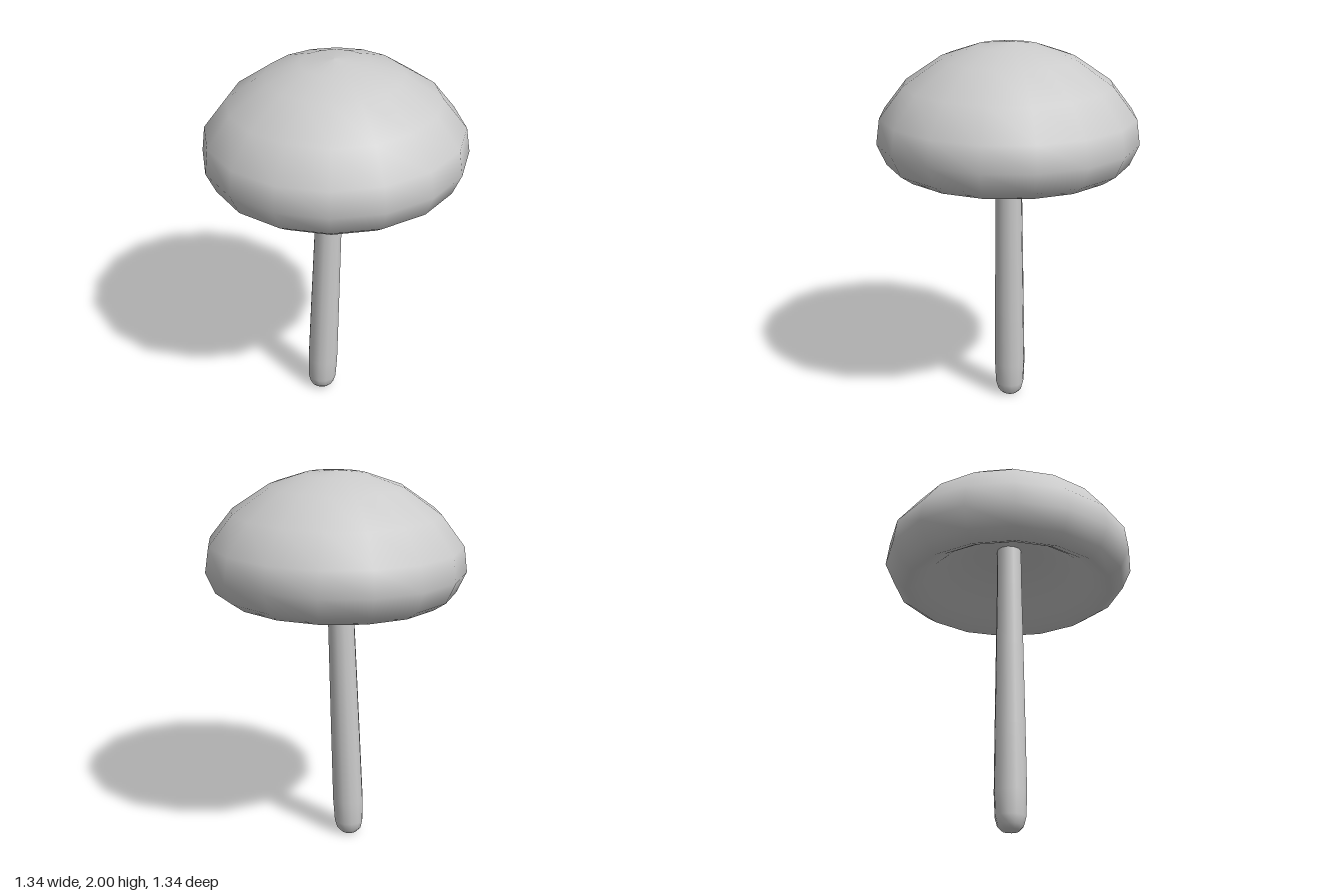
import * as THREE from 'three';

const material = new THREE.MeshStandardMaterial({ color: 0xcccccc });

// Smooth solid of revolution; the profile runs from the bottom centre to the top centre
function turned(name, profile, sides, phase = 0) {
  const points = profile.map(([r, y]) => new THREE.Vector2(r, y));
  const mesh = new THREE.Mesh(new THREE.LatheGeometry(points, sides, phase), material);
  mesh.name = name;
  return mesh;
}

export function createModel() {
  const group = new THREE.Group();
  group.name = 'mushroom';

  // Cap: hollow underside, rolled rim and domed top, heights relative to its widest ring
  const capHeight = 1.505;
  const cap = turned('cap', [
    [0, 0.1], [0.17, 0.08], [0.32, 0.01], [0.43, -0.08], [0.5, -0.125],
    [0.56, -0.152], [0.625, -0.107], [0.673, 0], [0.655, 0.13],
    [0.535, 0.285], [0.345, 0.415], [0.17, 0.475], [0, 0.495],
  ], 16, -0.056);
  cap.position.y = capHeight;
  cap.rotation.set(0.009, 0, 0.01);
  group.add(cap);

  // Stem: rounded foot, slight taper, running up into the hollow of the cap
  const stem = turned('stem', [
    [0, 0.004], [0.045, 0.008], [0.066, 0.03], [0.078, 0.075], [0.083, 0.2],
    [0.079, 0.55], [0.073, 1], [0.068, 1.36], [0.066, 1.62],
  ], 12);
  // Lean towards the cap's centre while the rings stay level
  const lean = 0.027;
  stem.geometry.applyMatrix4(new THREE.Matrix4().set(
    1, lean, 0, -0.055,
    0, 1, 0, 0,
    0, -lean, 1, 0.055,
    0, 0, 0, 1,
  ));
  group.add(stem);

  return group;
}
